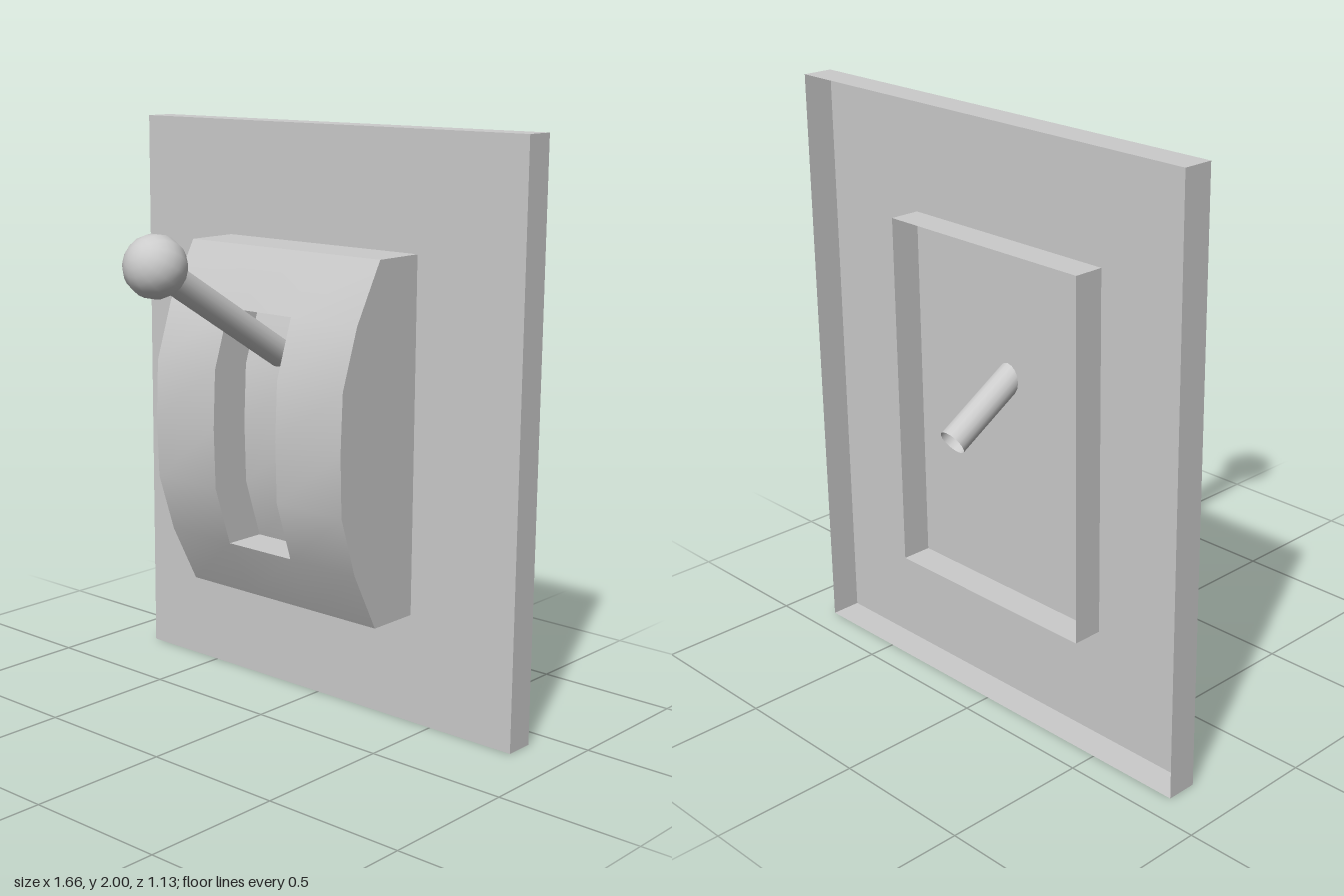
import * as THREE from 'three';
import { mergeGeometries, toCreasedNormals } from 'three/addons/utils/BufferGeometryUtils.js';

const BACK = -0.405;
const material = new THREE.MeshStandardMaterial({ color: 0xcccccc, side: THREE.DoubleSide });

// Ruled surface between two polylines of [x, y, z] points
function strip(a, b) {
  const index = [];
  const n = a.length;
  for (let i = 0; i < n - 1; i++) index.push(i, i + 1, n + i, n + i, i + 1, n + i + 1);
  const geo = new THREE.BufferGeometry();
  geo.setAttribute('position', new THREE.Float32BufferAttribute([...a, ...b].flat(), 3));
  geo.setIndex(index);
  return geo;
}

// Place a [y, z] profile at a given x
const at = (x, profile) => profile.map(([y, z]) => [x, y, z]);
const across = (x0, x1, profile) => strip(at(x0, profile), at(x1, profile));

// Four walls running back from a front profile, leaving the rear open
function walls(x0, x1, front) {
  const back = front.map(([y]) => [y, BACK]);
  const last = front.length - 1;
  return [
    strip(at(x1, front), at(x1, back)),
    strip(at(x0, back), at(x0, front)),
    across(x0, x1, [back[0], front[0]]),
    across(x0, x1, [front[last], back[last]]),
  ];
}

function part(name, pieces) {
  const mesh = new THREE.Mesh(toCreasedNormals(mergeGeometries(pieces), 0.5), material);
  mesh.name = name;
  return mesh;
}

export function createModel() {
  const model = new THREE.Group();
  model.name = 'leverSwitch';

  // Wall plate, hollow from behind
  const plate = [[2, -0.3], [0, -0.3]];
  model.add(part('wallPlate', [across(-0.83, 0.83, plate), ...walls(-0.83, 0.83, plate)]));

  // Curved housing with a slot cut in its front
  const [x0, x1, s0, s1] = [-0.42, 0.41, -0.147, 0.132];
  const curve = [[1.6, -0.11], [1.4, 0], [1.2, 0.066], [1, 0.074], [0.79, 0.066], [0.585, -0.002], [0.38, -0.11]];
  model.add(part('housing', [
    across(x0, s0, curve),
    across(s1, x1, curve),
    across(s0, s1, curve.slice(0, 2)),
    across(s0, s1, curve.slice(5)),
    ...walls(x0, x1, curve),
  ]));

  // Slot recess: floor follows the curve of the front
  const rim = curve.slice(1, 6);
  const floor = rim.map(([y, z]) => [y, z - 0.15]);
  model.add(part('slotRecess', [
    across(s0, s1, floor),
    strip(at(s0, rim), at(s0, floor)),
    strip(at(s1, floor), at(s1, rim)),
    across(s0, s1, [rim[0], floor[0]]),
    across(s0, s1, [floor[4], rim[4]]),
  ]));

  // Tilted lever, passing through the plate, with a ball knob at its upper end
  const top = new THREE.Vector3(-0.01, 1.597, 0.467);
  const end = new THREE.Vector3(-0.01, 0.987, -0.541);
  const length = top.distanceTo(end);
  const lever = new THREE.Group();
  lever.name = 'lever';
  lever.position.copy(end);
  lever.quaternion.setFromUnitVectors(new THREE.Vector3(0, 1, 0), top.clone().sub(end).normalize());
  const rod = new THREE.Mesh(new THREE.CylinderGeometry(0.047, 0.047, length, 16, 1, true), material);
  rod.name = 'leverRod';
  rod.position.y = length / 2;
  const knob = new THREE.Mesh(new THREE.SphereGeometry(0.102, 14, 12), material);
  knob.name = 'leverKnob';
  knob.position.y = length;
  lever.add(rod, knob);
  model.add(lever);

  return model;
}
